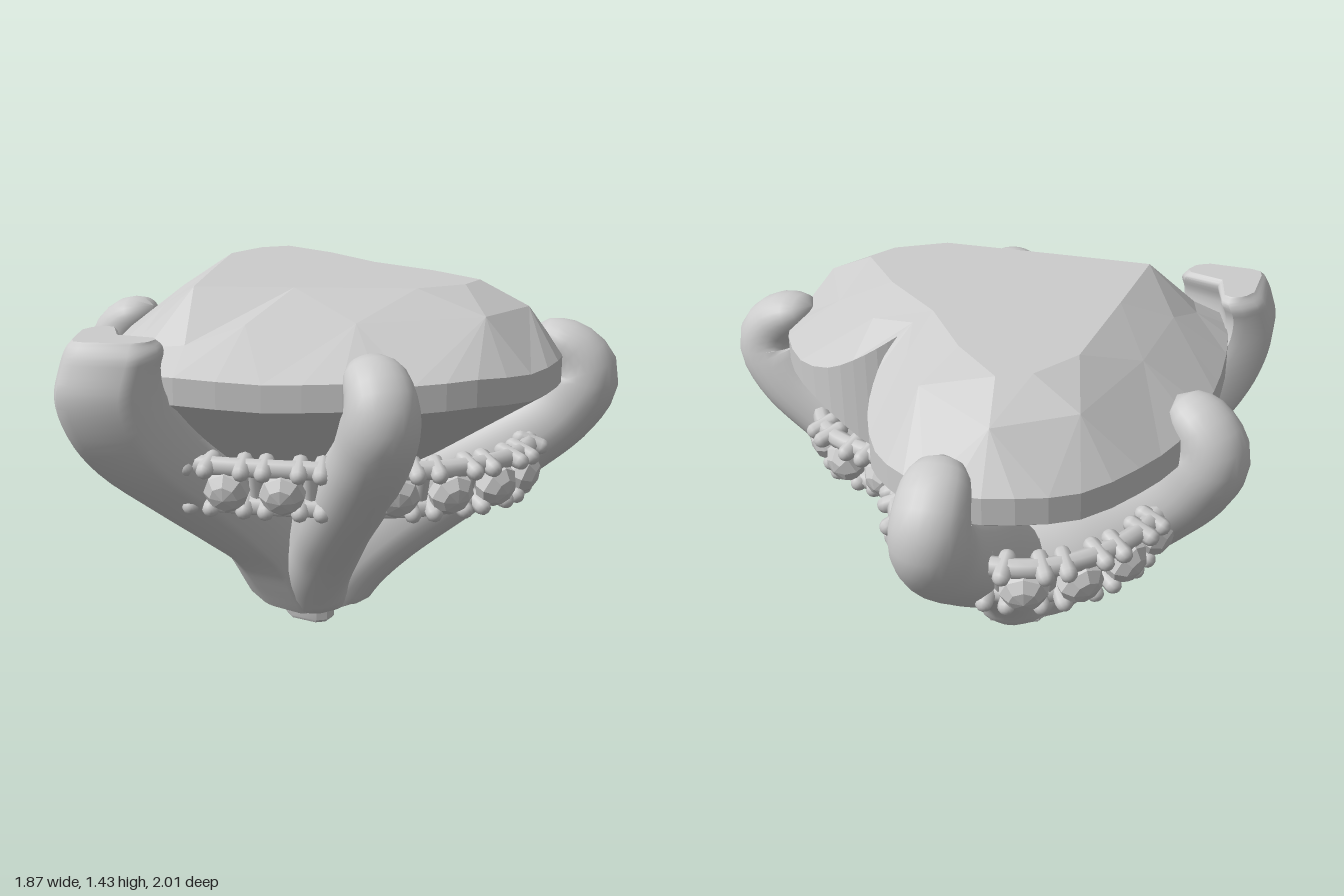
import * as THREE from 'three';
import { toCreasedNormals } from 'three/addons/utils/BufferGeometryUtils.js';

const V = (x, y, z) => new THREE.Vector3(x, y, z);
const { lerp, smoothstep } = THREE.MathUtils;
const metal = new THREE.MeshStandardMaterial({ color: 0xcccccc });
metal.name = 'silver grey';

function add(parent, geometry, name) {
  const mesh = new THREE.Mesh(geometry, metal);
  mesh.name = name;
  parent.add(mesh);
  return mesh;
}

// Skin rings of equal length (counter-clockwise seen from the end) and cap both ends
function loft(rings, crease) {
  const n = rings[0].length, pos = [], idx = [];
  rings.forEach(r => r.forEach(p => pos.push(p.x, p.y, p.z)));
  for (let i = 0; i < rings.length - 1; i++) {
    for (let j = 0; j < n; j++) {
      const a = i * n + j, b = i * n + (j + 1) % n;
      idx.push(a, b, b + n, a, b + n, a + n);
    }
  }
  [0, rings.length - 1].forEach((r, end) => {
    const c = rings[r].reduce((s, p) => s.add(p), V(0, 0, 0)).divideScalar(n);
    const k = pos.length / 3;
    pos.push(c.x, c.y, c.z);
    for (let j = 0; j < n; j++) {
      const a = r * n + j, b = r * n + (j + 1) % n;
      if (end) idx.push(k, a, b); else idx.push(k, b, a);
    }
  });
  const g = new THREE.BufferGeometry();
  g.setAttribute('position', new THREE.Float32BufferAttribute(pos, 3));
  g.setIndex(idx);
  return toCreasedNormals(g, crease);
}

// Mirror a right-hand half list (back to front) into a closed ring
function mirrorRing(half) {
  const left = half.map(p => V(-p.x, p.y, p.z));
  return [...left, ...half.slice(1, -1).reverse()];
}

// Heart girdle, back notch to front point: x, z, upper edge, lower edge
const GIRDLE = [
  [0, -0.64, 1.36, 0.83], [0.035, -0.71, 1.31, 0.88], [0.1, -0.78, 1.25, 0.93], [0.2, -0.845, 1.19, 1.0],
  [0.38, -0.89, 1.15, 1.05], [0.58, -0.87, 1.16, 1.06], [0.75, -0.78, 1.15, 1.05], [0.88, -0.61, 1.16, 1.06],
  [0.935, -0.4, 1.15, 1.05], [0.9, -0.16, 1.16, 1.06], [0.8, 0.05, 1.15, 1.05], [0.65, 0.25, 1.16, 1.06],
  [0.45, 0.45, 1.15, 1.05], [0.2, 0.645, 1.16, 1.06], [0, 0.74, 1.15, 1.05],
];
// Corners of the large crown facets and of the flat table
const CROWN = [[0, 1.4, -0.58], [0.16, 1.37, -0.67], [0.38, 1.36, -0.72], [0.72, 1.34, -0.62], [0.78, 1.345, -0.32],
  [0.52, 1.33, 0.07], [0.25, 1.32, 0.36], [0.13, 1.25, 0.54], [0, 1.23, 0.61]];
const TABLE = [[0, -0.5], [0.3, -0.535], [0.56, -0.52], [0.6, -0.4], [0.55, -0.2], [0.25, 0.13], [0, 0.4]];
const CROWN_AT = [0, 0, 1, 1, 2, 2, 3, 3, 4, 4, 5, 5, 6, 7, 8];
const TABLE_AT = [0, 0, 0, 1, 1, 2, 2, 3, 3, 4, 4, 5, 5, 6, 6];

function heartStone() {
  const apex = V(0, 0.46, -0.2), steps = 28;
  const upper = new THREE.CatmullRomCurve3(GIRDLE.map(g => V(g[0], g[2], g[1])));
  const lower = new THREE.CatmullRomCurve3(GIRDLE.map(g => V(g[0], g[3], g[1])));
  const rules = [
    k => lower.getPoint(k / steps).lerp(apex, 0.995),
    k => lower.getPoint(k / steps).lerp(apex, 0.45).add(V(0, -0.02, 0)),
    k => lower.getPoint(k / steps),
    k => upper.getPoint(k / steps),
    k => V(...CROWN[CROWN_AT[Math.floor(k / 2)]]),
    k => { const [x, z] = TABLE[TABLE_AT[Math.floor(k / 2)]]; return V(x, 1.43, z); },
  ];
  return loft(rules.map(f => mirrorRing(Array.from({ length: steps + 1 }, (_, k) => f(k)))), 0.02);
}

// Round claw, deep towards the middle, sweeping up from the foot and leaning over the stone
function roundProng(points) {
  const curve = new THREE.CatmullRomCurve3(points.map(p => V(...p)));
  const bend = points[points.length - 3];
  const side = V(0, 1, 0).cross(V(bend[0], 0, bend[2] + 0.15).normalize());
  const rings = [], N = 40, S = 24;
  for (let i = 0; i <= N; i++) {
    const t = i / N, c = curve.getPointAt(t), T = curve.getTangentAt(t);
    const s = side.clone().addScaledVector(T, -side.dot(T)).normalize();
    const inward = T.clone().cross(s);
    const tip = smoothstep(t, 0.78, 1), u = Math.max(0, (t - 0.92) / 0.08);
    const round = Math.sqrt(Math.max(0.0004, 1 - u * u));
    const width = lerp(0.14, 0.11, tip) * round, outer = lerp(0.135, 0.075, tip) * round;
    const inner = lerp(lerp(0.24, 0.17, smoothstep(t, 0.35, 0.72)), 0.08, tip) * round;
    rings.push(Array.from({ length: S }, (_, j) => {
      const a = j / S * Math.PI * 2, d = Math.sin(a);
      const p = c.clone().addScaledVector(s, Math.cos(a) * width).addScaledVector(inward, d * (d > 0 ? inner : outer));
      p.y = Math.max(p.y, 0.09);
      return p;
    }));
  }
  return loft(rings, 0.9);
}

// V-shaped claw guarding the point: outer ridge z, y, inner z
function pointProng() {
  const keys = [
    [0.05, 0.09, -0.2], [0.11, 0.18, -0.18], [0.2, 0.3, -0.13], [0.35, 0.42, -0.04], [0.59, 0.6, 0.11],
    [0.84, 0.8, 0.36], [0.955, 0.95, 0.53], [1.0, 1.1, 0.65], [0.975, 1.2, 0.67], [0.945, 1.27, 0.65], [0.92, 1.295, 0.67],
  ];
  const curve = new THREE.CatmullRomCurve3(keys.map(k => V(...k)));
  const rings = curve.getPoints(40).map(({ x: o, y, z: i }) => {
    const w = lerp(0.17, 0.2, smoothstep(y, 0.1, 0.9)) - 0.03 * smoothstep(y, 1.24, 1.3);
    const d = lerp(0.05, 0.18, smoothstep(y, 0.1, 0.7));
    return mirrorRing([
      V(0, y, i + 0.07), V(w * 0.72, y, i), V(w * 0.9, y, i + 0.01), V(w, y, i + 0.05),
      V(w, y, o - d), V(w * 0.92, y, o - d * 0.75), V(w * 0.2, y, o - d * 0.09), V(0, y, o),
    ]);
  });
  return loft(rings, 0.75);
}

// Beaded gallery: rails, small stones and paired claws following the heart between the prongs
const BAND = [
  [0, -0.7], [0.12, -0.75], [0.36, -0.85], [0.56, -0.83], [0.72, -0.74], [0.86, -0.58], [0.91, -0.4],
  [0.88, -0.16], [0.77, 0.05], [0.61, 0.24], [0.42, 0.42], [0.19, 0.59], [0, 0.66],
];
function gallery() {
  const group = new THREE.Group();
  group.name = 'beadedGallery';
  const path = inset => new THREE.CatmullRomCurve3(
    mirrorRing(BAND.map(([x, z]) => V(x * (1 - inset), 0, (z + 0.15) * (1 - inset) - 0.15))), true);
  [[0.07, 0.82, 'upperRail'], [0.15, 0.66, 'lowerRail']].forEach(([inset, y, name]) => {
    add(group, new THREE.TubeGeometry(path(inset), 120, 0.036, 8, true), name).position.y = y;
  });
  const curve = path(0.07), count = 24;
  const stone = toCreasedNormals(new THREE.SphereGeometry(0.088, 8, 5).rotateX(Math.PI / 2).scale(1, 1, 0.75), 0.02);
  const claw = new THREE.CapsuleGeometry(0.032, 0.08, 4, 8).rotateX(Math.PI / 2);
  const post = new THREE.CapsuleGeometry(0.03, 0.14, 4, 8);
  const frame = t => {
    const p = curve.getPointAt(t), T = curve.getTangentAt(t);
    return { p, T, out: T.clone().cross(V(0, 1, 0)).normalize() };
  };
  const insideProng = ({ p }) => [[0.62, 0.14], [0.66, -0.75], [0, 0.58]]
    .some(([x, z]) => Math.hypot(Math.abs(p.x) - x, p.z - z) < 0.13);
  const place = (geometry, name, p, out) => {
    const m = add(group, geometry, name);
    m.position.copy(p);
    m.lookAt(p.clone().add(out).add(V(0, -0.35, 0)));
  };
  for (let i = 0; i < count; i++) {
    const a = frame((i + 0.5) / count), b = frame(i / count);
    if (!insideProng(a)) place(stone, 'galleryStone', a.p.clone().addScaledVector(a.out, -0.01).setY(0.725), a.out);
    if (insideProng(b)) continue;
    place(post, 'galleryPost', b.p.clone().addScaledVector(b.out, -0.06).setY(0.735), b.out);
    [-0.04, 0.04].forEach(s => {
      const q = b.p.clone().addScaledVector(b.T, s);
      place(claw, 'upperClaw', q.clone().addScaledVector(b.out, 0.005).setY(0.825), b.out);
      place(claw, 'lowerClaw', q.clone().addScaledVector(b.out, -0.05).setY(0.665), b.out);
    });
  }
  return group;
}

export function createModel() {
  const model = new THREE.Group();
  model.name = 'heartStoneSetting';
  add(model, heartStone(), 'heartStone');
  add(model, pointProng(), 'pointProng');

  // Four round prongs, mirrored left and right: x, y, side z, back z
  const path = [[0.06, 0.06, -0.12, -0.22], [0.1, 0.15, -0.1, -0.25], [0.165, 0.26, -0.06, -0.29],
    [0.265, 0.39, -0.02, -0.37], [0.41, 0.55, 0.05, -0.51], [0.6, 0.75, 0.12, -0.69], [0.74, 0.92, 0.175, -0.83],
    [0.8, 1.06, 0.2, -0.875], [0.765, 1.15, 0.185, -0.845], [0.64, 1.235, 0.14, -0.745]];
  [1, -1].forEach(s => {
    const tag = s > 0 ? 'left' : 'right';
    add(model, roundProng(path.map(([x, y, z]) => [s * x, y, z])), tag + 'SideProng');
    add(model, roundProng(path.map(([x, y, , z]) => [s * x, y, z])), tag + 'BackProng');
  });

  model.add(gallery());

  // Solid foot where the prongs meet
  const foot = [[0.09, 1], [0.16, 1.02], [0.3, 1.05], [0.46, 0.9]].map(([y, k]) => mirrorRing([
    V(0, y, -0.3 * k), V(0.13 * k, y, -0.37 * k), V(0.21 * k, y, -0.26 * k), V(0.21 * k, y, -0.08 * k),
    V(0.14 * k, y, 0), V(0, y, 0.02),
  ]));
  add(model, loft(foot, 0.6), 'foot');

  // Small six-sided peg below
  const peg = [[0, 0.92], [0.012, 1], [0.07, 1], [0.09, 1.15]].map(([y, k]) => mirrorRing([
    V(0, y, -0.15 - 0.08 * k), V(0.11 * k, y, -0.15 - 0.055 * k), V(0.13 * k, y, -0.15),
    V(0.11 * k, y, -0.15 + 0.04 * k), V(0, y, -0.15 + 0.08 * k),
  ]));
  add(model, loft(peg, 0.6), 'peg');
  return model;
}
